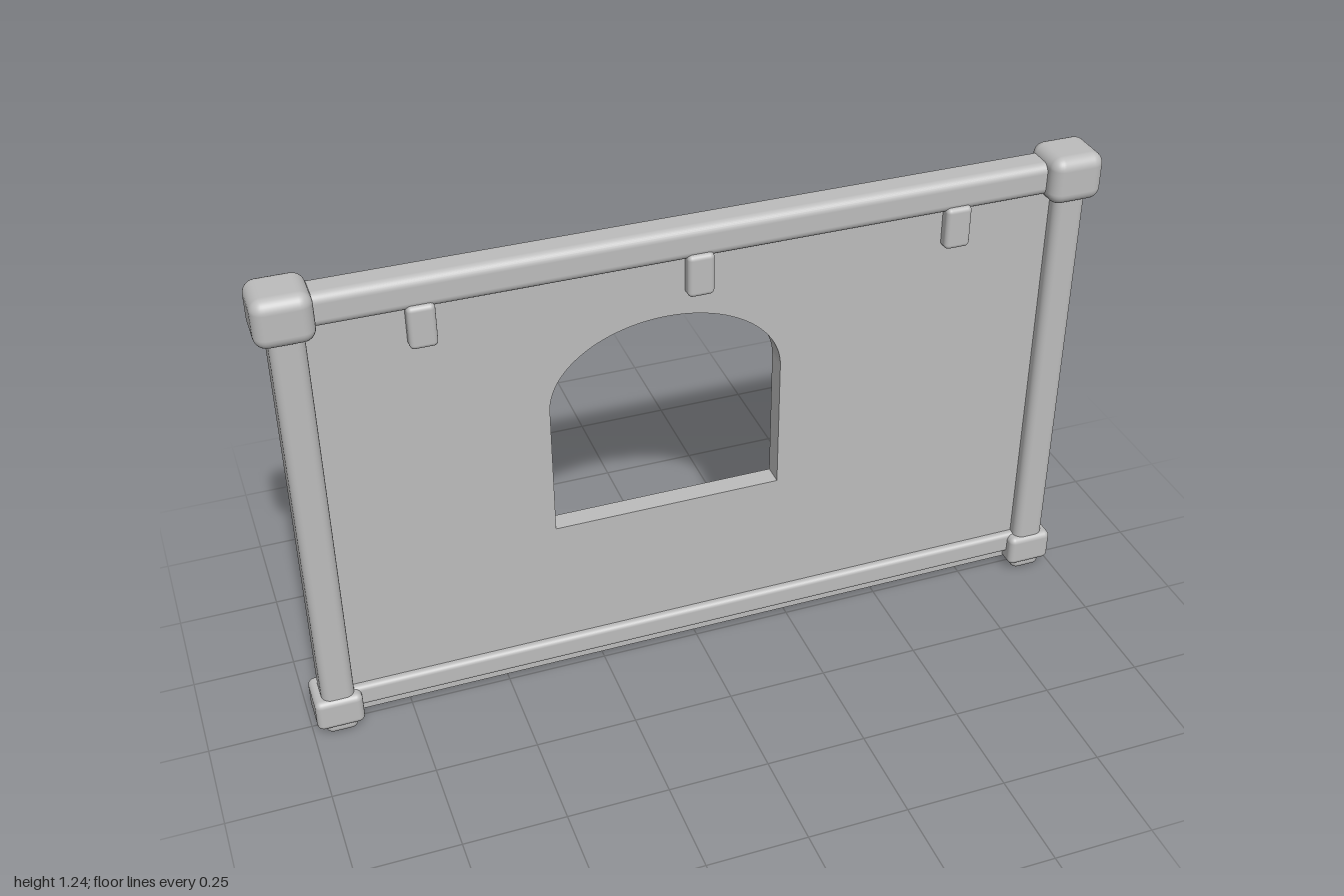
import * as THREE from 'three';
import { RoundedBoxGeometry } from 'three/addons/geometries/RoundedBoxGeometry.js';

export function createModel() {
  const model = new THREE.Group();
  model.name = 'wallPanel';
  const grey = new THREE.MeshStandardMaterial({ color: 0xbcbcbc });
  grey.name = 'lightGrey';

  // Rounded block given by its [min, max] range on each axis
  function block(name, [x0, x1], [y0, y1], [z0, z1], radius) {
    const geometry = new RoundedBoxGeometry(x1 - x0, y1 - y0, z1 - z0, 4, radius);
    const mesh = new THREE.Mesh(geometry, grey);
    mesh.name = name;
    mesh.position.set((x0 + x1) / 2, (y0 + y1) / 2, (z0 + z1) / 2);
    model.add(mesh);
  }

  // Wall sheet with an off-centre arched window
  const sheet = new THREE.Shape();
  sheet.moveTo(-0.93, 0.03);
  sheet.lineTo(0.93, 0.03);
  sheet.lineTo(0.93, 1.16);
  sheet.lineTo(-0.93, 1.16);
  sheet.closePath();
  const arch = new THREE.Path();
  arch.moveTo(-0.362, 0.45);
  arch.lineTo(-0.362, 0.79);
  arch.absellipse(-0.077, 0.79, 0.285, 0.197, Math.PI, 0, true);
  arch.lineTo(0.208, 0.45);
  arch.closePath();
  sheet.holes.push(arch);
  const wall = new THREE.Mesh(
    new THREE.ExtrudeGeometry(sheet, { depth: 0.052, bevelEnabled: false, curveSegments: 32 }), grey);
  wall.name = 'wall';
  wall.position.z = -0.04;
  model.add(wall);

  // Corner posts with top caps, bottom caps and feet
  for (const [side, s] of [['left', 1], ['right', -1]]) {
    const span = (a, b) => (s > 0 ? [a, b] : [-b, -a]);
    block(side + 'Post', span(0.89, 0.97), [0.07, 1.15], [-0.047, 0.047], 0.022);
    block(side + 'TopCap', span(0.866, 1), [1.115, 1.235], [-0.067, 0.067], 0.03);
    block(side + 'BottomCap', span(0.874, 0.99), [0.024, 0.11], [-0.058, 0.056], 0.016);
    block(side + 'Foot', span(0.89, 0.97), [0, 0.06], [-0.045, 0.047], 0.018);
  }

  // Rails between the corners
  block('topRail', [-0.93, 0.93], [1.13, 1.212], [-0.055, 0.03], 0.022);
  block('bottomRail', [-0.93, 0.93], [0.055, 0.114], [-0.03, 0.03], 0.012);

  // Tabs hanging under the top rail
  for (const x of [-0.64, 0, 0.64]) {
    block('tab', [x - 0.032, x + 0.032], [1.038, 1.145], [-0.01, 0.04], 0.012);
  }
  return model;
}
